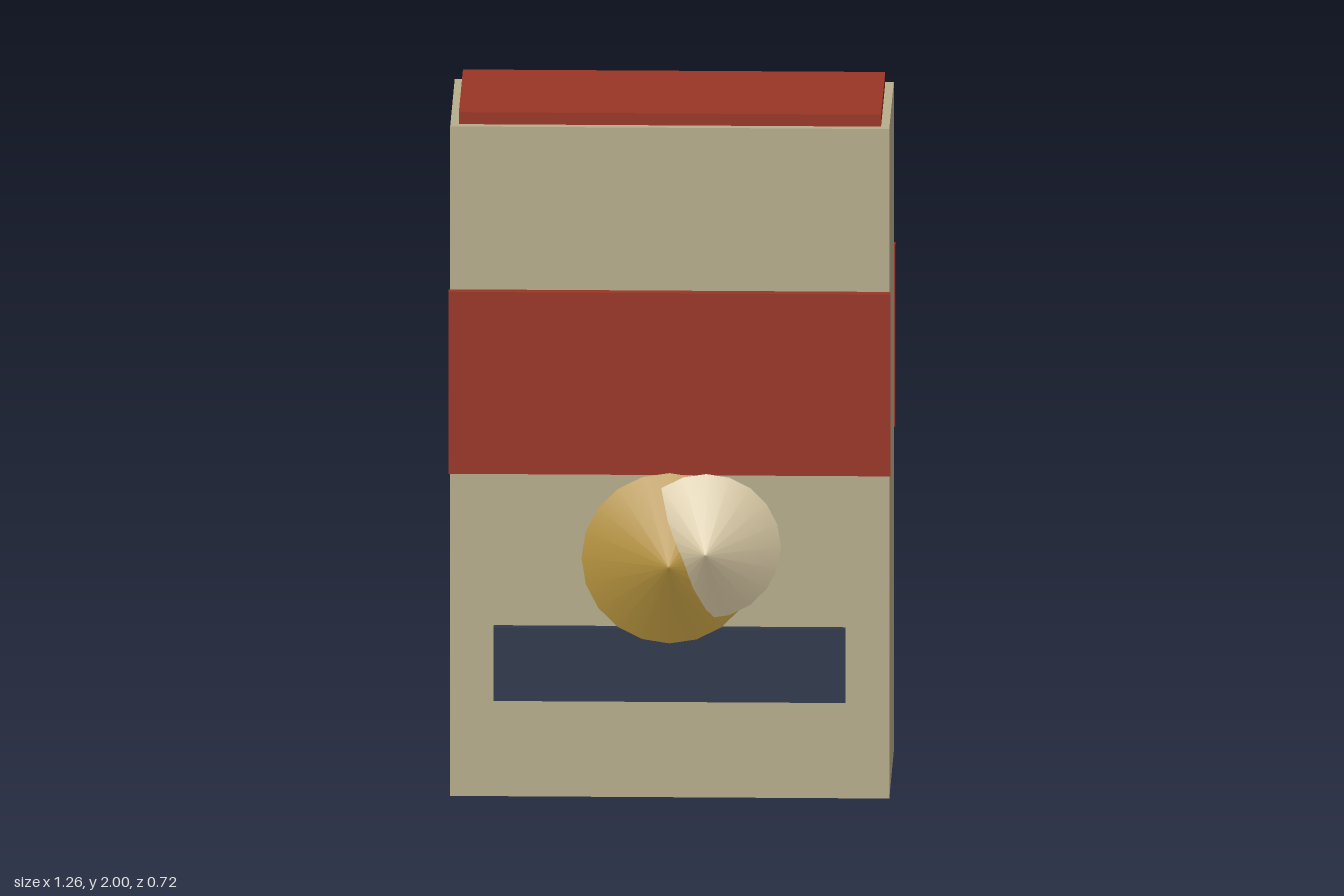
import * as THREE from 'three';

const paint = (name, color) => {
  const m = new THREE.MeshStandardMaterial({ color });
  m.name = name;
  return m;
};

export function createModel() {
  const model = new THREE.Group();
  model.name = 'carton';

  const tan = paint('tan card', 0xb8ae8d);
  const red = paint('brick red', 0x9b3625);
  const navy = paint('navy', 0x30384b);
  const gold = paint('gold', 0xb8953f);
  const cream = paint('cream', 0xd6c7a3);

  const add = (name, geometry, material, x, y, z) => {
    const mesh = new THREE.Mesh(geometry, material);
    mesh.name = name;
    mesh.position.set(x, y, z);
    model.add(mesh);
  };

  // Box between two heights and two depths, centred on x
  const box = (name, material, width, y0, y1, z0, z1) =>
    add(name, new THREE.BoxGeometry(width, y1 - y0, z1 - z0), material, 0, (y0 + y1) / 2, (z0 + z1) / 2);

  // Shallow cone pointing forward
  const cone = (name, material, radius, height, x, y, z) =>
    add(name, new THREE.ConeGeometry(radius, height, 20).rotateX(Math.PI / 2), material, x, y, z + height / 2);

  // Carton and lid
  box('body', tan, 1.248, 0, 1.965, -0.33, 0.205);
  box('lid', red, 1.2, 1.965, 2, -0.306, 0.178);

  // Raised bands and label strip
  box('frontBand', red, 1.256, 0.953, 1.487, 0.205, 0.234);
  box('backBand', red, 1.256, 0.953, 1.487, -0.36, -0.33);
  box('labelStrip', navy, 1, 0.288, 0.502, 0.205, 0.238);

  // Overlapping emblem cones, floating just off the front
  cone('goldDisc', gold, 0.25, 0.105, 0, 0.71, 0.238);
  cone('creamDisc', cream, 0.212, 0.105, 0.105, 0.75, 0.254);

  return model;
}
